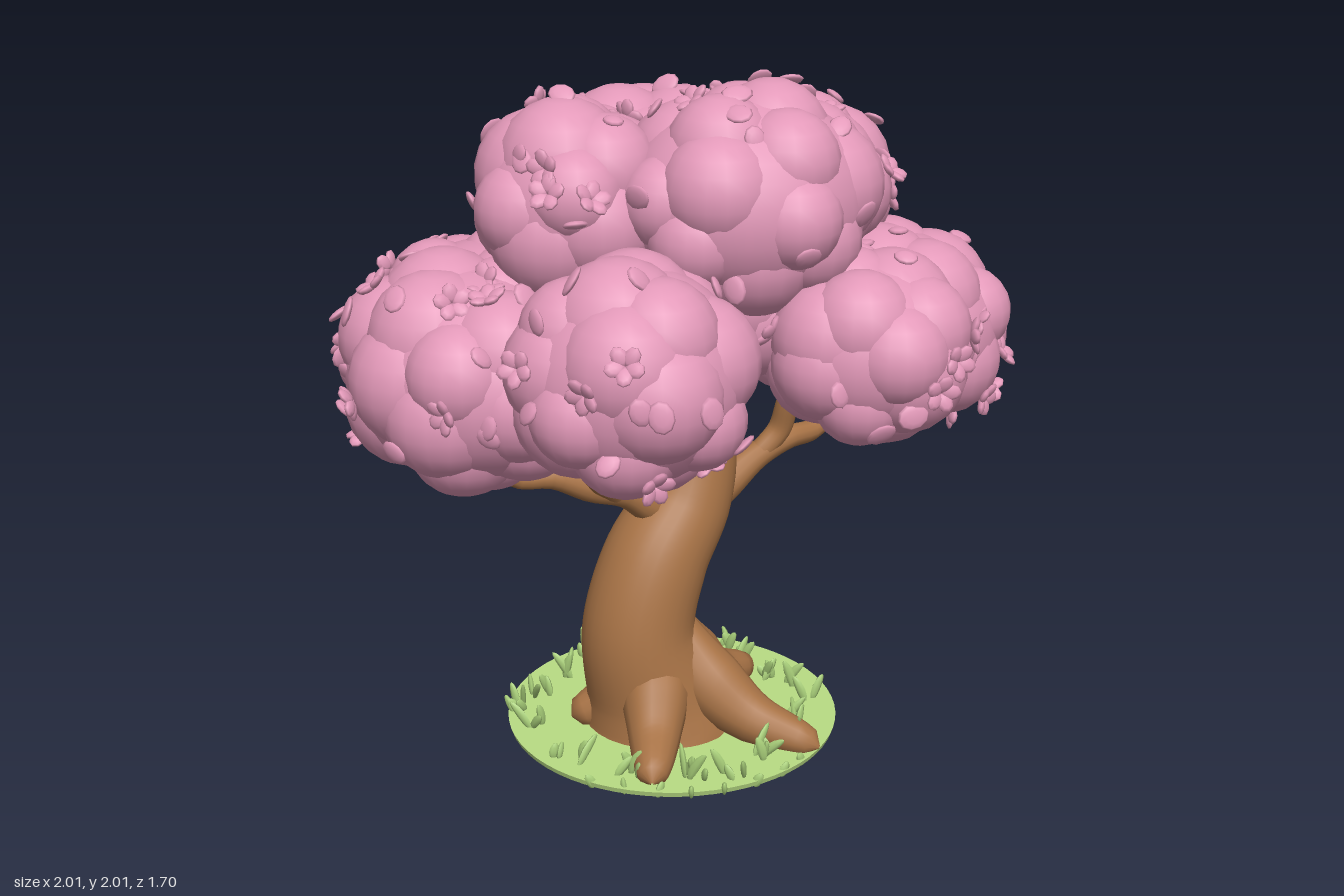
import * as THREE from 'three';
import { mergeGeometries, mergeVertices } from 'three/addons/utils/BufferGeometryUtils.js';

const V = (x, y, z) => new THREE.Vector3(x, y, z);
const UP = V(0, 1, 0);

// Small seeded random generator
function seeded(a) {
  return () => {
    a = (a + 0x6d2b79f5) | 0;
    let t = Math.imul(a ^ (a >>> 15), 1 | a);
    t = (t + Math.imul(t ^ (t >>> 7), 61 | t)) ^ t;
    return ((t ^ (t >>> 14)) >>> 0) / 4294967296;
  };
}

// Tapered tube through points [x, y, z, radius], kept above the ground
function limb(points, segments, sides) {
  const path = new THREE.CatmullRomCurve3(points.map(p => V(p[0], p[1], p[2])));
  const radii = new THREE.SplineCurve(points.map((p, i) => new THREE.Vector2(i, p[3])));
  const geo = new THREE.TubeGeometry(path, segments, 1, sides);
  const pos = geo.attributes.position, v = V(0, 0, 0);
  for (let i = 0; i <= segments; i++) {
    const u = i / segments;
    const centre = path.getPointAt(u);
    const r = radii.getPoint(path.getUtoTmapping(u)).y;
    for (let j = 0; j <= sides; j++) {
      const k = i * (sides + 1) + j;
      v.fromBufferAttribute(pos, k).sub(centre).multiplyScalar(r).add(centre);
      pos.setXYZ(k, v.x, Math.max(v.y, 0.018), v.z);
    }
  }
  geo.deleteAttribute('uv');
  geo.deleteAttribute('normal');
  const smooth = mergeVertices(geo, 1e-5);
  smooth.computeVertexNormals();
  return smooth;
}

// Ellipsoid at a point
function blob(c, rx, ry, rz, w, h) {
  return new THREE.SphereGeometry(1, w, h).scale(rx, ry, rz).translate(c.x, c.y, c.z);
}

export function createModel() {
  const tree = new THREE.Group();
  tree.name = 'blossomTree';
  const mat = (name, color) => {
    const m = new THREE.MeshStandardMaterial({ color });
    m.name = name;
    return m;
  };
  const pink = mat('blossom pink', 0xe399b9);
  const bark = mat('bark brown', 0xa87346);
  const green = mat('grass green', 0xb9dd84);
  const blade = mat('blade green', 0xa8ce79);
  const add = (name, geo, material) => {
    const mesh = new THREE.Mesh(geo, material);
    mesh.name = name;
    tree.add(mesh);
  };

  // Thin ground disc
  const gx = -0.05, gz = 0.04;
  add('ground', new THREE.CylinderGeometry(0.5, 0.495, 0.016, 64).translate(gx, 0.018, gz), green);

  // Curved trunk
  add('trunk', limb([
    [-0.09, 0.015, 0.035, 0.24], [-0.12, 0.13, 0.035, 0.205], [-0.167, 0.33, 0.03, 0.17],
    [-0.1, 0.54, 0.025, 0.157], [0.02, 0.7, 0.015, 0.137], [0.07, 0.87, 0.01, 0.112],
    [0.02, 1.07, 0.0, 0.09], [-0.06, 1.25, -0.02, 0.055], [-0.1, 1.4, -0.03, 0.02],
  ], 56, 28), bark);

  // Roots spreading over the ground: tip x, tip z
  [[-0.36, 0.36], [0.13, 0.48], [0.28, -0.02], [0.05, -0.31], [-0.32, -0.08]].forEach(([x, z]) => {
    const at = (t, y, r) => [-0.1 + (x + 0.1) * t, y, 0.03 + (z - 0.03) * t, r];
    add('root', limb([
      at(0.1, 0.35, 0.06), at(0.34, 0.18, 0.1), at(0.62, 0.085, 0.078),
      at(0.88, 0.055, 0.058), at(1, 0.045, 0.042), at(1.06, 0.035, 0.004),
    ], 20, 14), bark);
  });

  // Forked branches
  const branches = [
    [[0.03, 0.64, 0.02, 0.06], [0.16, 0.72, 0.03, 0.055], [0.27, 0.785, 0.04, 0.042], [0.38, 0.82, 0.05, 0.036], [0.5, 0.82, 0.04, 0.032], [0.58, 0.88, 0.03, 0.026], [0.66, 1.0, 0.03, 0.012]],
    [[0.27, 0.785, 0.04, 0.035], [0.34, 0.86, 0.06, 0.036], [0.345, 0.96, 0.09, 0.032], [0.34, 1.12, 0.14, 0.015]],
    [[-0.03, 0.65, 0.02, 0.055], [-0.13, 0.72, 0.03, 0.05], [-0.2, 0.775, 0.02, 0.046], [-0.31, 0.81, 0.0, 0.042], [-0.42, 0.86, -0.03, 0.034], [-0.53, 0.875, -0.06, 0.028], [-0.6, 0.95, -0.08, 0.024], [-0.66, 1.06, -0.1, 0.012]],
    [[-0.24, 0.79, 0.02, 0.04], [-0.32, 0.87, 0.05, 0.045], [-0.37, 0.96, 0.09, 0.04], [-0.4, 1.12, 0.16, 0.016]],
    [[0.06, 0.92, 0.0, 0.06], [0.12, 1.05, -0.05, 0.05], [0.2, 1.2, -0.14, 0.03], [0.26, 1.35, -0.2, 0.012]],
  ];
  branches.forEach(b => add('branch', limb(b, 26, 12), bark));

  // Canopy clusters: name, centre, outer radii, bump count
  const rand = seeded(29);
  const clusters = [
    ['innerCluster', 0.02, 1.4, 0.02, 0.42, 0.31, 0.46, 12],
    ['frontTopCluster', 0.05, 1.67, 0.25, 0.4, 0.33, 0.36, 22],
    ['leftTopCluster', -0.33, 1.66, -0.04, 0.3, 0.3, 0.3, 17],
    ['backTopCluster', 0.07, 1.62, -0.28, 0.45, 0.27, 0.34, 21],
    ['rightTopCluster', 0.45, 1.59, -0.06, 0.32, 0.28, 0.37, 19],
    ['frontLeftCluster', -0.46, 1.31, 0.41, 0.35, 0.33, 0.35, 21],
    ['frontRightCluster', 0.25, 1.28, 0.55, 0.31, 0.28, 0.3, 18],
    ['rightCluster', 0.63, 1.18, 0.22, 0.36, 0.32, 0.37, 21],
    ['farRightCluster', 0.61, 1.18, -0.15, 0.3, 0.31, 0.34, 19],
    ['leftCluster', -0.65, 1.21, -0.12, 0.35, 0.34, 0.44, 23],
    ['backLeftCluster', -0.35, 1.18, -0.44, 0.42, 0.31, 0.39, 22],
    ['backRightCluster', 0.22, 1.18, -0.46, 0.5, 0.31, 0.4, 24],
  ];
  const bumps = [];
  clusters.forEach(([name, x, y, z, rx, ry, rz, n]) => {
    const c = V(x, y, z);
    const parts = [blob(c, rx - 0.04, ry - 0.04, rz - 0.04, 26, 16)];
    const turn = rand() * 6.28;
    for (let i = 0; i < n; i++) {
      const h = 1 - (2 * (i + 0.5)) / n;
      const a = turn + i * 2.39996 + (rand() - 0.5) * 0.5;
      const s = Math.sqrt(1 - h * h);
      const r = 0.13 + rand() * 0.06;
      const p = V(x + Math.cos(a) * s * (rx - r), y + h * (ry - r) * 1.03, z + Math.sin(a) * s * (rz - r));
      bumps.push({ p, r });
      parts.push(blob(p, r, r, r, 18, 11));
    }
    add(name, mergeGeometries(parts), pink);
  });

  // Loose petals and five-petal flowers scattered on the canopy surface
  const petals = [], flowers = [];
  const chip = (size, w, h) => new THREE.SphereGeometry(1, w, h).scale(size, 0.011, size * 0.8);
  for (let tries = 0; tries < 6000 && petals.length + flowers.length < 170; tries++) {
    const b = bumps[Math.floor(rand() * bumps.length)];
    const h = rand() * 1.7 - 0.7, a = rand() * 6.283, s = Math.sqrt(1 - h * h);
    const n = V(Math.cos(a) * s, h, Math.sin(a) * s);
    const p = b.p.clone().addScaledVector(n, b.r + 0.005);
    const hidden = bumps.some(o => o !== b && o.p.distanceTo(p) < o.r + 0.008);
    const inside = Math.hypot(p.x, p.z) < 0.45 && p.y < 1.5;
    if (hidden || inside || p.y > 1.98) continue;
    const tilt = V(rand() - 0.5, rand() - 0.5, rand() - 0.5);
    const q = new THREE.Quaternion().setFromUnitVectors(UP, n.clone().add(tilt).normalize());
    const place = new THREE.Matrix4().compose(p, q, V(1, 1, 1));
    const spin = rand() * 6.283;
    if (rand() < 0.7) {
      petals.push(chip(0.034 + rand() * 0.012, 10, 6).rotateY(spin).applyMatrix4(place));
    } else {
      const ring = [];
      for (let k = 0; k < 5; k++) {
        ring.push(chip(0.029, 8, 5).rotateZ(0.35).translate(0.027, 0.006, 0).rotateY(spin + k * 1.2566));
      }
      flowers.push(mergeGeometries(ring).applyMatrix4(place));
    }
  }
  add('loosePetals', mergeGeometries(petals), pink);
  add('flowers', mergeGeometries(flowers), pink);

  // Grass tufts of broad rounded blades around the ground disc
  const blades = [];
  const addBlade = (x, y, z, half, lean) => {
    const g = new THREE.SphereGeometry(1, 7, 6).scale(0.015, half, 0.009).translate(0, half, 0);
    const pos = g.attributes.position;
    for (let i = 0; i < pos.count; i++) pos.setX(i, pos.getX(i) + pos.getY(i) ** 2 * 2);
    g.computeVertexNormals();
    blades.push(g.rotateZ(-lean).rotateY(rand() * 6.283).translate(x, y, z));
  };
  for (let t = 0; t < 22; t++) {
    const a = t * 0.2856 + (rand() - 0.5) * 0.2;
    const d = 0.35 + rand() * 0.12;
    const count = 2 + Math.floor(rand() * 4);
    for (let k = 0; k < count; k++) {
      addBlade(gx + Math.cos(a) * d + (rand() - 0.5) * 0.06, 0.018, gz + Math.sin(a) * d + (rand() - 0.5) * 0.06,
        0.024 + rand() * 0.032, rand() * 0.6);
    }
  }
  // Short blades at the front rim
  for (let t = 0; t < 8; t++) {
    const a = 1.3 + t * 0.2;
    addBlade(gx + Math.cos(a) * 0.485, 0.0, gz + Math.sin(a) * 0.485, 0.025, 0.3);
  }
  add('grassTufts', mergeGeometries(blades), blade);

  return tree;
}
